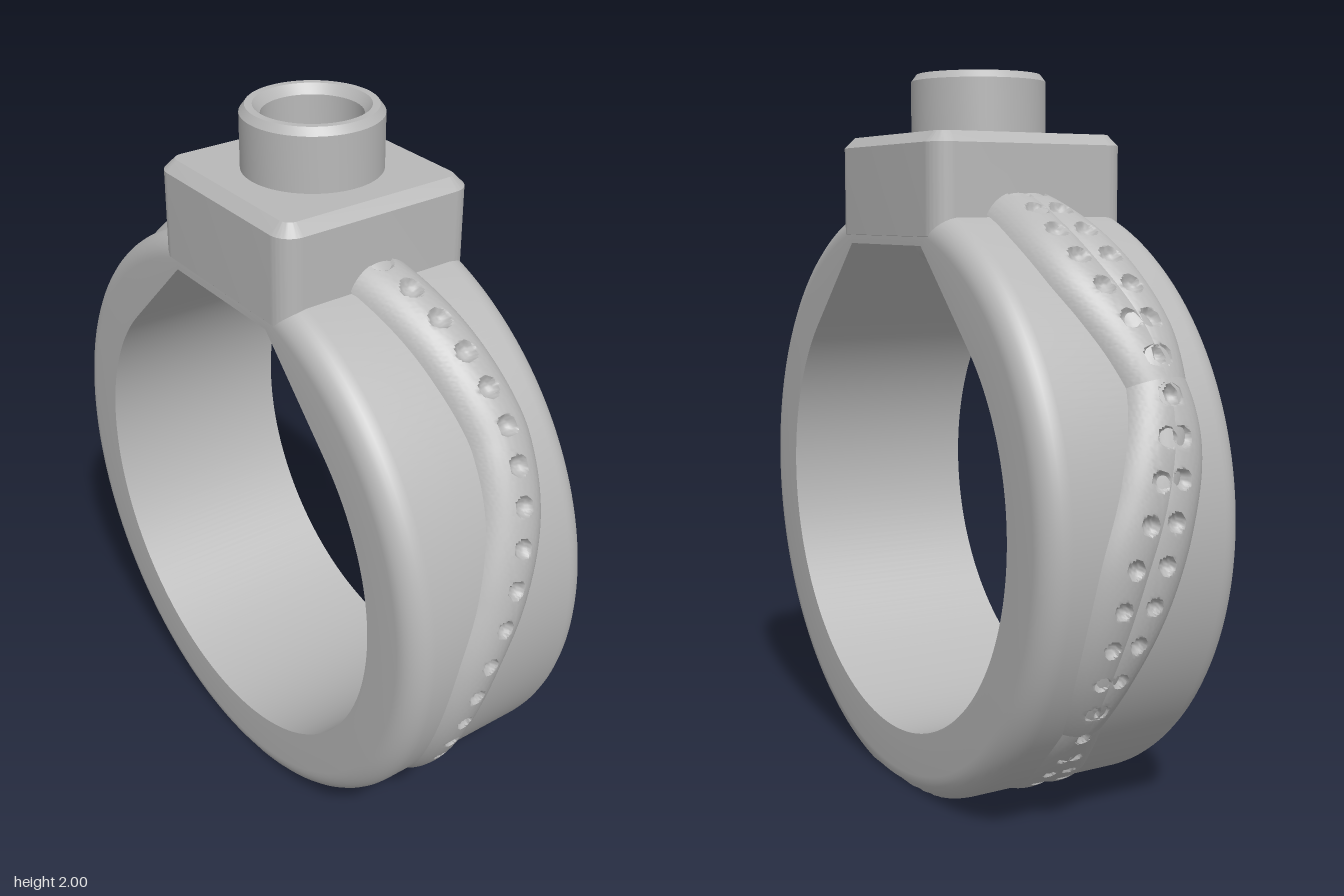
import * as THREE from 'three';
import { toCreasedNormals } from 'three/addons/utils/BufferGeometryUtils.js';

const metal = new THREE.MeshStandardMaterial({ color: 0xb8b8b8 });
metal.name = 'grey metal';
const rad = THREE.MathUtils.degToRad;

// Surface through a grid of points: rows run along u, columns along v
function gridGeometry(rows, crease) {
  const n = rows[0].length, index = [];
  for (let i = 0; i < rows.length - 1; i++) {
    for (let j = 0; j < n - 1; j++) {
      const a = i * n + j, c = a + n;
      index.push(a, a + 1, c, a + 1, c + 1, c);
    }
  }
  const g = new THREE.BufferGeometry().setFromPoints(rows.flat());
  g.setIndex(index);
  return toCreasedNormals(g, crease);
}

function part(group, name, geometry) {
  const mesh = new THREE.Mesh(geometry, metal);
  mesh.name = name;
  group.add(mesh);
  return mesh;
}

// Band: filleted outside, teardrop finger hole, flat cut at the bottom
const BAND_Y = 0.81, OUTER = 0.85, INNER = 0.66, HALF = 0.299, FILLET = 0.07;

function holeRadius(t) {
  const fromTop = Math.abs(Math.atan2(Math.cos(t), Math.sin(t)));
  if (fromTop > Math.PI / 4) return INNER;
  return Math.min(INNER / Math.cos(Math.PI / 4 - fromTop), 0.72 / Math.cos(fromTop));
}

function bandGeometry() {
  const rows = [], segs = 240;
  for (let i = 0; i <= segs; i++) {
    const t = (i / segs) * Math.PI * 2, ri = holeRadius(t);
    const section = [[ri, HALF]];
    for (const side of [1, -1]) {
      for (let k = 0; k <= 8; k++) {
        const a = ((side > 0 ? k : 8 - k) / 8) * Math.PI / 2;
        section.push([OUTER - FILLET + FILLET * Math.sin(a), side * (HALF - FILLET + FILLET * Math.cos(a))]);
      }
    }
    section.push([ri, -HALF], [ri, HALF]);
    rows.push(section.map(([r, z]) =>
      new THREE.Vector3(r * Math.cos(t), Math.max(0, BAND_Y + r * Math.sin(t)), z)));
  }
  return gridGeometry(rows, 0.5);
}

// Wavy raised strands with a row of round pits
const STRAND_Y = 0.84, STRAND_R = 0.776, TUBE = 0.11, TOP = 76, BOTTOM = -78;

// Elevation angle in degrees and sideways offset of the wave
const wave = [[76, 0.02], [70, 0], [54, -0.05], [40, -0.08], [33, -0.085], [20, -0.06], [6, 0.005],
  [-7, 0.075], [-21, 0.105], [-34, 0.095], [-48, 0.05], [-61, -0.02], [-70, -0.06], [-80, -0.085]];
const delayedWave = [[76, 0.05], [66, 0.05], [58, 0.05], [48, 0.03], [40, -0.005], [32, -0.045], [23, -0.08],
  [14, -0.085], [2, -0.05], [-12, 0], [-28, 0.06], [-45, 0.095], [-60, 0.07], [-70, 0.035], [-80, 0]];

// Smooth interpolation of the wave offset at an angle
function offsetAt(table, deg) {
  let k = 0;
  while (k < table.length - 2 && table[k + 1][0] > deg) k++;
  const p = i => table[THREE.MathUtils.clamp(i, 0, table.length - 1)];
  const slope = i => (p(i + 1)[1] - p(i - 1)[1]) / (p(i + 1)[0] - p(i - 1)[0]);
  const [x0, y0] = p(k), [x1, y1] = p(k + 1);
  const h = x1 - x0, s = (deg - x0) / h, s2 = s * s, s3 = s2 * s;
  return (2 * s3 - 3 * s2 + 1) * y0 + (s3 - 2 * s2 + s) * h * slope(k)
    + (3 * s2 - 2 * s3) * y1 + (s3 - s2) * h * slope(k + 1);
}

function strandPoint(table, side, deg, r = STRAND_R) {
  const a = rad(deg);
  return new THREE.Vector3(side * r * Math.cos(a), STRAND_Y + r * Math.sin(a), side * offsetAt(table, deg));
}

function strandGeometry(table, side) {
  const pits = [];
  for (let deg = 70; deg > -76; deg -= 6.8) {
    pits.push({
      centre: strandPoint(table, side, deg, STRAND_R + TUBE),
      radius: THREE.MathUtils.mapLinear(deg, 70, -76, 0.031, 0.017),
    });
  }
  const rows = [], segs = 420, around = 34;
  for (let i = 0; i <= segs; i++) {
    const deg = TOP + (BOTTOM - TOP) * i / segs;
    const c = strandPoint(table, side, deg);
    const out = new THREE.Vector3(side * Math.cos(rad(deg)), Math.sin(rad(deg)), 0);
    const along = strandPoint(table, side, deg - 0.2).sub(strandPoint(table, side, deg + 0.2)).normalize();
    const across = along.clone().cross(out).normalize();
    const row = [];
    for (let j = 0; j <= around; j++) {
      const phi = rad(-62 + 124 * j / around);
      const p = c.clone().addScaledVector(out, TUBE * Math.cos(phi)).addScaledVector(across, TUBE * Math.sin(phi));
      for (const { centre, radius } of pits) {
        const d = p.distanceTo(centre);
        if (d < radius) {
          p.addScaledVector(out, -0.85 * Math.sqrt(radius * radius - d * d));
          break;
        }
      }
      p.y = Math.max(0, p.y);
      row.push(p);
    }
    rows.push(row);
  }
  return gridGeometry(rows, 0.8);
}

// Square head with rounded corners and chamfered rims
function headGeometry() {
  const h = 0.27, r = 0.03, s = new THREE.Shape();
  const corners = [[1, -1], [1, 1], [-1, 1], [-1, -1]];
  corners.forEach(([x, y], i) =>
    s.absarc(x * (h - r), y * (h - r), r, (i - 1) * Math.PI / 2, i * Math.PI / 2, false));
  const g = new THREE.ExtrudeGeometry(s, {
    depth: 0.245, bevelEnabled: true, bevelSize: 0.03, bevelThickness: 0.03, bevelSegments: 1, curveSegments: 8,
  });
  g.rotateX(-Math.PI / 2).translate(0, 1.555, 0);
  return toCreasedNormals(g, 0.5);
}

// Hollow round collar on the head
function collarGeometry() {
  const profile = [[0.19, 1.82], [0.19, 1.98], [0.175, 2], [0.155, 2], [0.135, 1.975], [0.135, 1.84], [0, 1.84]];
  const g = new THREE.LatheGeometry(profile.map(([x, y]) => new THREE.Vector2(x, y)), 64);
  return toCreasedNormals(g, 0.5);
}

export function createModel() {
  const ring = new THREE.Group();
  ring.name = 'ring';
  part(ring, 'band', bandGeometry());
  part(ring, 'head', headGeometry());
  part(ring, 'collar', collarGeometry());

  const strands = [['leftStrand', wave, 1], ['rightStrand', wave, -1], ['rightSecondStrand', delayedWave, -1]];
  for (const [name, table, side] of strands) {
    part(ring, name, strandGeometry(table, side));
    // Rounded strand end showing below the head
    const end = part(ring, name + 'End', new THREE.SphereGeometry(TUBE, 32, 20));
    end.position.copy(strandPoint(table, side, 72));
  }
  return ring;
}
